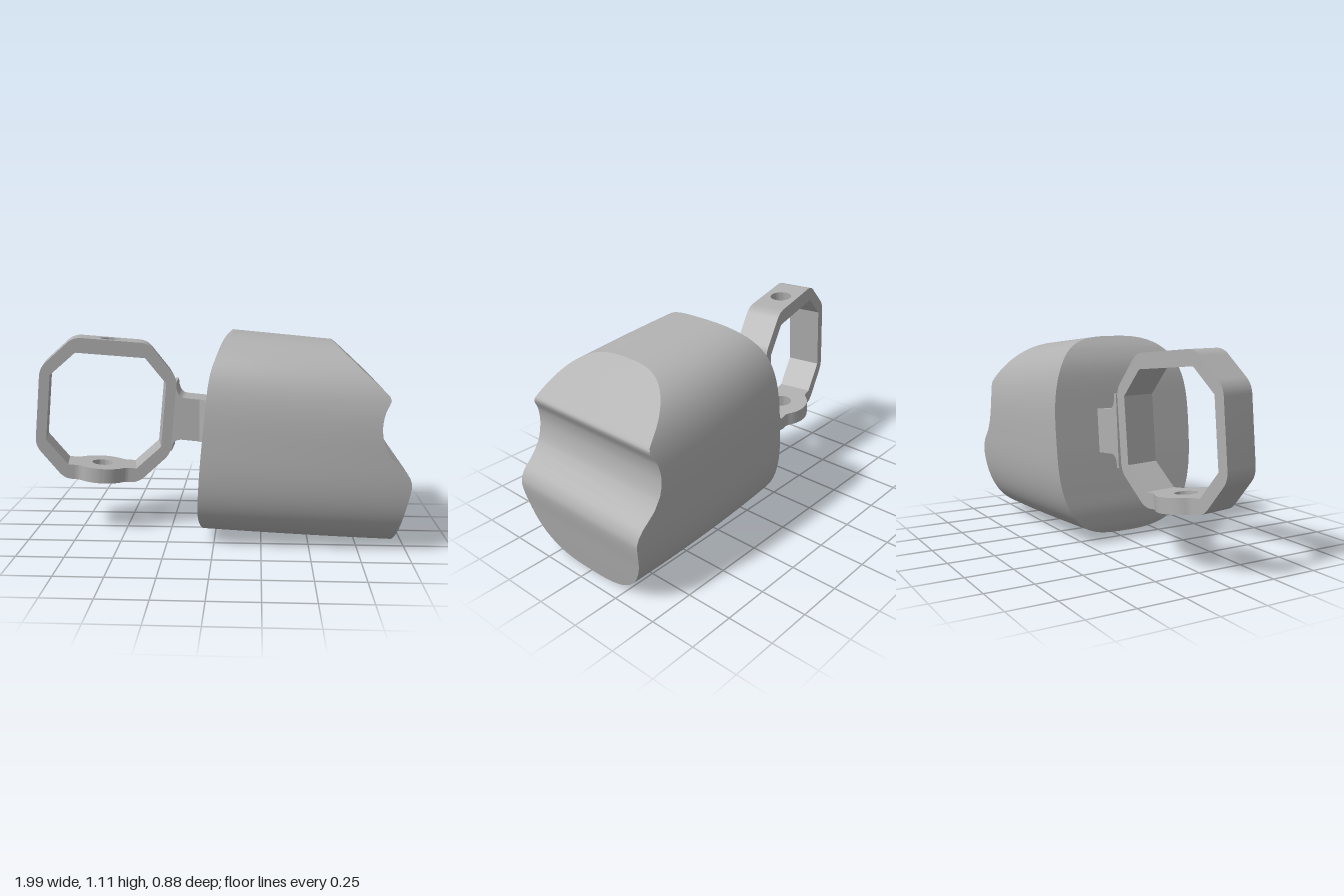
import * as THREE from 'three';
import { toCreasedNormals } from 'three/addons/utils/BufferGeometryUtils.js';

const material = new THREE.MeshStandardMaterial({ color: 0xb0b0b0 });
material.name = 'grey';

const TILT = -0.094; // the whole piece leans by about five degrees

function add(parent, geometry, name) {
  const mesh = new THREE.Mesh(geometry, material);
  mesh.name = name;
  parent.add(mesh);
  return mesh;
}

function meshFrom(positions, index) {
  const g = new THREE.BufferGeometry();
  g.setAttribute('position', new THREE.Float32BufferAttribute(positions, 3));
  g.setIndex(index);
  g.computeVertexNormals();
  return g;
}

function extrude(shape, depth) {
  const g = new THREE.ExtrudeGeometry(shape, { depth, bevelEnabled: false, curveSegments: 24 });
  return toCreasedNormals(g, 0.55);
}

// Smooth end profile, looked up as x for a given y
function profile(points) {
  const p = new THREE.SplineCurve(points.map(([x, y]) => new THREE.Vector2(x, y))).getPoints(150);
  return (y) => {
    if (y <= p[0].y) return p[0].x;
    for (let i = 1; i < p.length; i++) {
      if (y <= p[i].y) {
        return THREE.MathUtils.mapLinear(y, p[i - 1].y, p[i].y, p[i - 1].x, p[i].x);
      }
    }
    return p[p.length - 1].x;
  };
}

const innerEnd = profile([[-0.04, 0.045], [-0.068, 0.1], [-0.08, 0.19], [-0.075, 0.3], [-0.06, 0.5],
  [-0.04, 0.7], [-0.022, 0.87], [0, 0.97], [0.04, 1.05], [0.09, 1.112]]);
const outerEnd = profile([[0.93, 0.004], [0.952, 0.12], [0.974, 0.24], [0.995, 0.35], [0.994, 0.4],
  [0.967, 0.45], [0.91, 0.5], [0.86, 0.57], [0.84, 0.66], [0.85, 0.74], [0.88, 0.805],
  [0.865, 0.835], [0.79, 0.905], [0.71, 0.98], [0.62, 1.062]]);

// Superellipse section with a slight taper, trimmed by the two end profiles
const top = (x) => 1.112 - 0.094 * (x - 0.09);
const bottom = (x) => 0.045 - 0.0415 * (x + 0.04);
const power = (v) => Math.sign(v) * Math.abs(v) ** (2 / 2.9);

function bodyPoint(a, u) {
  const s = power(Math.sin(a));
  const yAt = (x) => (top(x) + bottom(x)) / 2 + s * (top(x) - bottom(x)) / 2;
  let x0 = 0, x1 = 0.9;
  for (let i = 0; i < 8; i++) {
    x0 = innerEnd(yAt(x0));
    x1 = outerEnd(yAt(x1));
  }
  const x = x0 + (x1 - x0) * u;
  const c = Math.cos(a);
  const w = 0.44 - 0.08 * (x - 0.5) ** 2;
  return [x, yAt(x), Math.abs(c) < 1e-9 ? 0 : w * power(c)];
}

function bodyWall() {
  const n = 144, rows = 12, positions = [], index = [];
  for (let i = 0; i < n; i++) {
    for (let j = 0; j <= rows; j++) positions.push(...bodyPoint(i / n * Math.PI * 2, j / rows));
  }
  for (let i = 0; i < n; i++) {
    for (let j = 0; j < rows; j++) {
      const a = i * (rows + 1) + j, b = ((i + 1) % n) * (rows + 1) + j;
      index.push(a, a + 1, b + 1, a, b + 1, b);
    }
  }
  return meshFrom(positions, index);
}

function bodyCap(u) {
  const n = 144, positions = [], index = [];
  for (let i = 0; i <= n; i++) {
    const [x, y, z] = bodyPoint((i / n - 0.5) * Math.PI, u);
    positions.push(x, y, -z, x, y, z);
    if (i < n) {
      const a = i * 2;
      if (u === 1) index.push(a, a + 2, a + 3, a, a + 3, a + 1);
      else index.push(a, a + 3, a + 2, a, a + 1, a + 3);
    }
  }
  return meshFrom(positions, index);
}

// Right half of the octagonal ring, open where the drilled plates sit
const CUT = 0.15, DEPTH = 0.19;

function halfRing() {
  const s = new THREE.Shape();
  const outer = [[CUT, -0.385], [0.2, -0.385], [0.365, -0.21], [0.365, 0.21], [0.2, 0.385], [CUT, 0.385]]
    .map(([x, y]) => new THREE.Vector2(x, y));
  s.moveTo(outer[0].x, outer[0].y);
  for (let i = 1; i < 5; i++) {
    const p = outer[i];
    const near = (q) => p.clone().add(q.clone().sub(p).setLength(0.045));
    const a = near(outer[i - 1]), b = near(outer[i + 1]);
    s.lineTo(a.x, a.y);
    s.quadraticCurveTo(p.x, p.y, b.x, b.y);
  }
  for (const [x, y] of [[CUT, 0.385], [CUT, 0.305], [0.185, 0.305], [0.31, 0.175], [0.31, -0.175],
    [0.185, -0.305], [CUT, -0.305]]) s.lineTo(x, y);
  return extrude(s, DEPTH).translate(0, 0, -DEPTH / 2);
}

// Drilled plate, optionally swelling to a round boss
function plate(boss) {
  const s = new THREE.Shape(), h = DEPTH / 2, r = 0.155, a = 0.82;
  s.moveTo(-CUT, -h);
  if (boss) {
    s.quadraticCurveTo(-0.125, -h, -r * Math.cos(a), -r * Math.sin(a));
    s.absarc(0, 0, r, -Math.PI + a, -a, false);
    s.quadraticCurveTo(0.125, -h, CUT, -h);
  } else s.lineTo(CUT, -h);
  s.lineTo(CUT, h);
  if (boss) {
    s.quadraticCurveTo(0.125, h, r * Math.cos(a), r * Math.sin(a));
    s.absarc(0, 0, r, a, Math.PI - a, false);
    s.quadraticCurveTo(-0.125, h, -CUT, h);
  } else s.lineTo(-CUT, h);
  s.closePath();
  s.holes.push(new THREE.Path().absarc(0, 0, 0.058, 0, Math.PI * 2, true));
  return extrude(s, 0.08).rotateX(-Math.PI / 2);
}

export function createModel() {
  const model = new THREE.Group();
  model.name = 'model';

  // Solid body
  const body = new THREE.Group();
  body.name = 'body';
  add(body, bodyWall(), 'bodyWall');
  add(body, bodyCap(0), 'innerEndFace');
  add(body, bodyCap(1), 'groovedEndFace');
  model.add(body);

  // Ring, turned about the vertical and leaning with the body
  const ring = new THREE.Group();
  ring.name = 'ring';
  const half = halfRing();
  add(ring, half, 'ringHalfLeft');
  add(ring, half, 'ringHalfRight').rotation.z = Math.PI;
  add(ring, plate(false), 'topPlate').position.y = 0.305;
  add(ring, plate(true), 'bottomBoss').position.y = -0.385;
  ring.rotation.set(0, 0.176, TILT);
  ring.position.set(-0.605, 0.68, -0.005);
  model.add(ring);

  // Stem flaring into the ring
  const s = new THREE.Shape();
  s.moveTo(-0.265, 0.45);
  s.lineTo(-0.245, 0.45);
  s.quadraticCurveTo(-0.245, 0.515, -0.19, 0.514);
  s.lineTo(0.02, 0.495);
  s.lineTo(0.02, 0.728);
  s.lineTo(-0.165, 0.745);
  s.quadraticCurveTo(-0.218, 0.75, -0.217, 0.83);
  s.lineTo(-0.235, 0.83);
  add(model, extrude(s, 0.185), 'stem').position.z = -0.165;

  // Small gusset where the stem meets the body
  const g = new THREE.Shape();
  g.moveTo(-0.09, -0.02);
  g.lineTo(0, -0.02);
  g.lineTo(0, -0.055);
  g.lineTo(-0.04, -0.055);
  const gusset = add(model, extrude(g, 0.23).rotateX(-Math.PI / 2), 'gusset');
  gusset.position.y = 0.503;
  return model;
}
